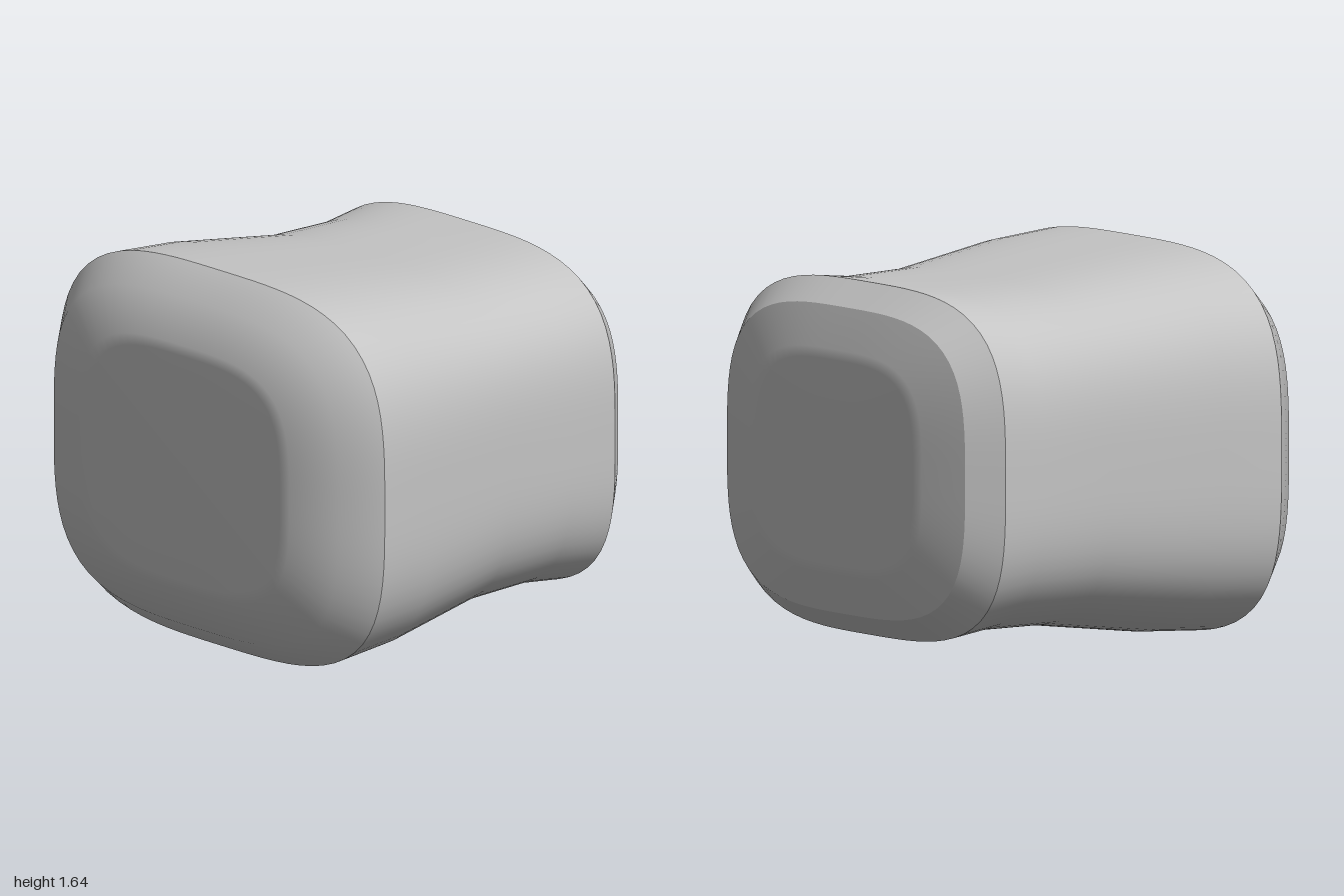
import * as THREE from 'three';

const SEGMENTS = 96;
const POWER = 3.4; // squareness of the rounded cross-section
const CENTRE_Y = 0.82;

// Lofts rounded-square rings along x; each ring is [x, half height, half depth].
function loft(rings) {
  const positions = [];
  const indices = [];
  for (const [x, h, d] of rings) {
    for (let j = 0; j < SEGMENTS; j++) {
      const a = (j / SEGMENTS) * Math.PI * 2;
      const c = Math.cos(a), s = Math.sin(a);
      const r = Math.pow(Math.abs(c) ** POWER + Math.abs(s) ** POWER, -1 / POWER);
      positions.push(x, CENTRE_Y + h * r * s, d * r * c);
    }
  }
  for (let i = 0; i < rings.length - 1; i++) {
    for (let j = 0; j < SEGMENTS; j++) {
      const k = (j + 1) % SEGMENTS;
      const a = i * SEGMENTS + j, b = i * SEGMENTS + k;
      const c = a + SEGMENTS, d = b + SEGMENTS;
      indices.push(a, c, b, b, c, d);
    }
  }
  const geometry = new THREE.BufferGeometry();
  geometry.setAttribute('position', new THREE.Float32BufferAttribute(positions, 3));
  geometry.setIndex(indices);
  geometry.computeVertexNormals();
  return geometry;
}

export function createModel() {
  const model = new THREE.Group();
  model.name = 'flaredBlock';
  const grey = new THREE.MeshStandardMaterial({ color: 0xc4c4c4 });
  grey.name = 'grey';

  const add = (name, rings) => {
    const mesh = new THREE.Mesh(loft(rings), grey);
    mesh.name = name;
    model.add(mesh);
  };

  // Waisted sleeve
  add('body', [
    [-0.69, 0.82, 1.0],
    [-0.4, 0.8, 0.98],
    [0.14, 0.727, 0.885],
    [0.5, 0.72, 0.88],
    [0.72, 0.745, 0.905],
  ]);

  // Large end: bevel rounding into a flat face
  add('largeEnd', [
    [-0.908, 0, 0],
    [-0.908, 0.49, 0.59],
    [-0.905, 0.535, 0.645],
    [-0.835, 0.713, 0.87],
    [-0.69, 0.82, 1.0],
  ]);

  // Small end: crisp bevel, then a softly domed face
  add('smallEndBevel', [
    [0.72, 0.745, 0.905],
    [0.845, 0.648, 0.79],
  ]);
  add('smallEndFace', [
    [0.845, 0.648, 0.79],
    [0.903, 0.475, 0.575],
    [0.906, 0.43, 0.52],
    [0.906, 0, 0],
  ]);

  return model;
}
